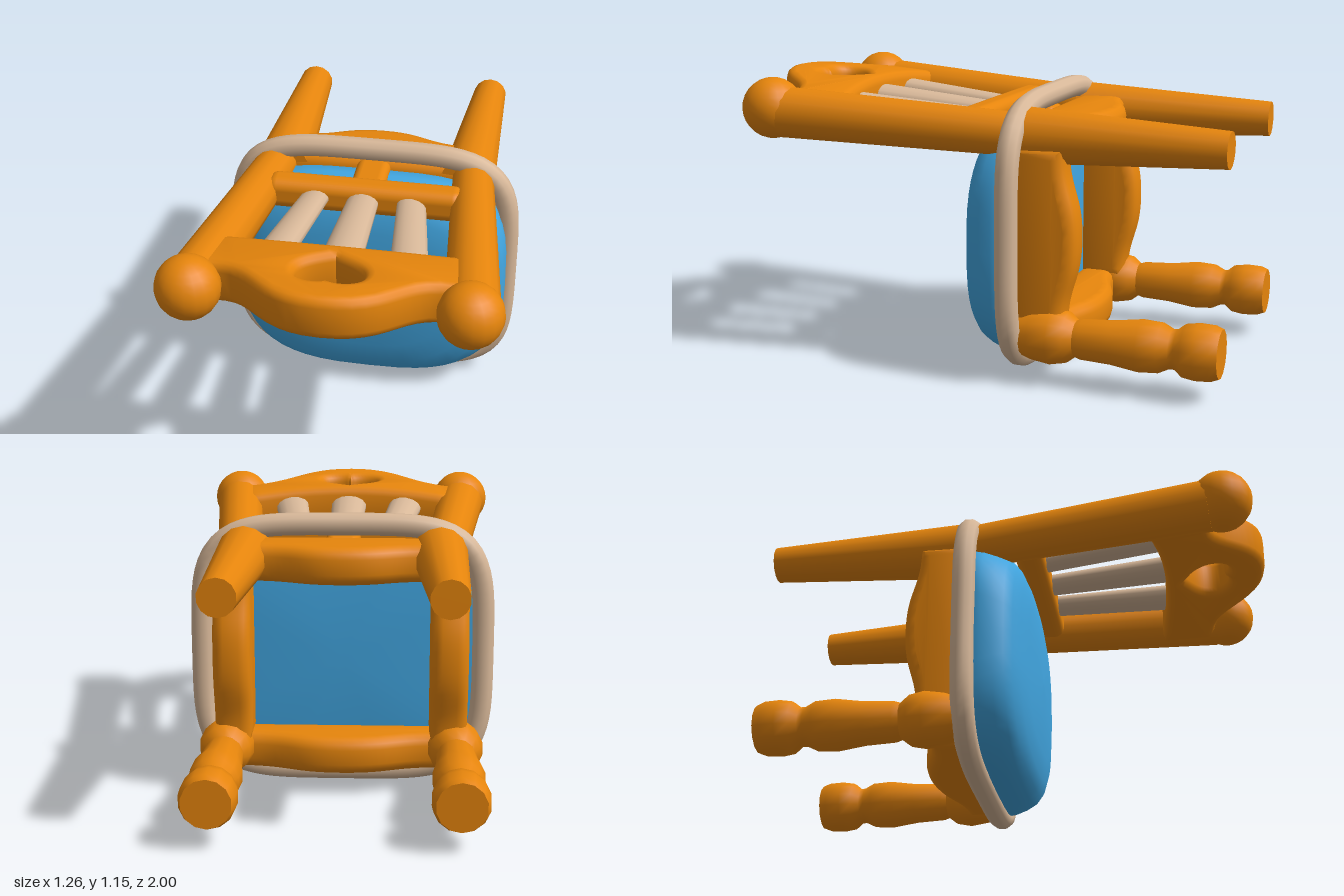
import * as THREE from 'three';
import { toCreasedNormals } from 'three/addons/utils/BufferGeometryUtils.js';
import { RoundedBoxGeometry } from 'three/addons/geometries/RoundedBoxGeometry.js';

const flat = (name, color) => Object.assign(new THREE.MeshStandardMaterial({ color }), { name });
const V = (x, y, z) => new THREE.Vector3(x, y, z);

// Squarish rounded outline, used by the cushion and the seat trim
function outline(a, hw, hh, n) {
  const c = Math.cos(a), s = Math.sin(a), e = 2 / n;
  return [hw * Math.sign(c) * Math.abs(c) ** e, hh * Math.sign(s) * Math.abs(s) ** e];
}

// Puffy cushion lofted along z; each ring is scale, z, squareness
function cushionGeometry() {
  const rings = [[0.001, -0.2, 4], [0.92, -0.2, 4], [0.99, -0.17, 3.8], [1, -0.12, 3.3], [0.985, -0.07, 3],
    [0.95, -0.03, 2.9], [0.89, 0, 2.8], [0.78, 0.024, 2.7], [0.6, 0.04, 2.6], [0.3, 0.05, 2.4], [0.001, 0.053, 2]];
  const n = 48, pos = [], idx = [];
  rings.forEach(([s, z, square], i) => {
    for (let j = 0; j < n; j++) {
      const [x, y] = outline(j / n * Math.PI * 2, 0.575 * s, 0.475 * s, square);
      pos.push(x, y + 0.52, z);
      if (i < rings.length - 1) {
        const a = i * n + j, b = i * n + (j + 1) % n;
        idx.push(a, b, b + n, a, b + n, a + n);
      }
    }
  });
  const g = new THREE.BufferGeometry();
  g.setAttribute('position', new THREE.Float32BufferAttribute(pos, 3));
  g.setIndex(idx);
  g.computeVertexNormals();
  return g;
}

// Rounded plate: shape drawn in x and z, thickness centred on y
function plate(shape, thick, bevel) {
  const g = new THREE.ExtrudeGeometry(shape, {
    depth: thick - 2 * bevel, bevelThickness: bevel, bevelSize: bevel,
    bevelOffset: -bevel, bevelSegments: 3, curveSegments: 12,
  });
  g.translate(0, 0, bevel - thick / 2);
  return g.rotateX(Math.PI / 2);
}

// Apron with a bowed lower edge
function apronGeometry(half, end, mid) {
  const s = new THREE.Shape();
  s.moveTo(half, -0.18);
  s.lineTo(-half, -0.18);
  s.lineTo(-half, end);
  s.bezierCurveTo(-half * 0.5, end, -half * 0.5, mid, 0, mid);
  s.bezierCurveTo(half * 0.5, mid, half * 0.5, end, half, end);
  return toCreasedNormals(plate(s, 0.15, 0.045), 0.9);
}

// Crest rail with a heart-shaped opening
function crestGeometry() {
  const s = new THREE.Shape();
  s.moveTo(-0.47, 0.53);
  s.quadraticCurveTo(0, 0.63, 0.47, 0.53);
  s.lineTo(0.5, 0.78);
  s.bezierCurveTo(0.26, 0.74, 0.28, 1, 0, 1);
  s.bezierCurveTo(-0.28, 1, -0.26, 0.74, -0.5, 0.78);
  const h = new THREE.Path();
  h.moveTo(0, 0.66);
  h.bezierCurveTo(0.05, 0.69, 0.125, 0.72, 0.125, 0.78);
  h.bezierCurveTo(0.125, 0.85, 0.03, 0.86, 0, 0.83);
  h.bezierCurveTo(-0.03, 0.86, -0.125, 0.85, -0.125, 0.78);
  h.bezierCurveTo(-0.125, 0.72, -0.05, 0.69, 0, 0.66);
  s.holes.push(h);
  const g = plate(s, 0.175, 0.037), p = g.attributes.position;
  // bow across the width and lean with the posts
  for (let i = 0; i < p.count; i++) {
    p.setY(i, p.getY(i) + 1.05 - 0.15 * p.getX(i) ** 2 + 0.09 * (p.getZ(i) - 0.85));
  }
  return toCreasedNormals(g, 0.9);
}

export function createModel() {
  const group = new THREE.Group();
  const wood = flat('orangeWood', 0xe6850c);
  const blue = flat('blueCushion', 0x42a7e2);
  const pale = flat('paleWood', 0xd8b899);

  const add = (name, geo, mat) => {
    const m = new THREE.Mesh(geo, mat);
    m.name = name;
    group.add(m);
    return m;
  };
  // Tapered round bar from p (radius rp) to q (radius rq)
  const bar = (name, p, q, rp, rq, mat) => {
    const d = q.clone().sub(p);
    const m = add(name, new THREE.CylinderGeometry(rq, rp, d.length(), 14), mat);
    m.position.copy(p).addScaledVector(d, 0.5);
    m.quaternion.setFromUnitVectors(V(0, 1, 0), d.normalize());
    return m;
  };

  // Seat
  add('seatCushion', cushionGeometry(), blue);
  const trim = [];
  for (let i = 0; i < 48; i++) {
    const [x, y] = outline(i / 48 * Math.PI * 2, 0.57, 0.512, 4.3);
    trim.push(V(x, y + 0.562, -0.185));
  }
  add('seatTrim', new THREE.TubeGeometry(new THREE.CatmullRomCurve3(trim, true), 96, 0.046, 10, true), pale);

  // Aprons under the seat
  add('rearApron', apronGeometry(0.38, -0.39, -0.47), wood).position.y = 0.95;
  add('frontApron', apronGeometry(0.42, -0.34, -0.42), wood).position.y = 0.17;

  // Turned front leg profile: radius, distance behind the seat
  const turned = [[0, 0.2], [0.08, 0.2], [0.1, 0.26], [0.112, 0.34], [0.1, 0.4], [0.072, 0.435],
    [0.08, 0.46], [0.086, 0.58], [0.102, 0.69], [0.097, 0.77], [0.077, 0.81], [0.077, 0.83],
    [0.102, 0.86], [0.11, 0.91], [0.107, 0.97], [0.095, 1], [0, 1]].map(([r, d]) => new THREE.Vector2(r, d));

  for (const s of [1, -1]) {
    const side = s > 0 ? 'left' : 'right';
    const apron = add(side + 'Apron', apronGeometry(0.36, -0.38, -0.435).rotateZ(Math.PI / 2), wood);
    apron.position.set(s * 0.43, 0.57, 0);

    const leg = toCreasedNormals(new THREE.LatheGeometry(turned, 14).rotateX(-Math.PI / 2), 0.9);
    add(side + 'FrontLeg', leg, wood).position.set(s * 0.46, 0.19, 0);
    bar(side + 'RearLeg', V(s * 0.39, 0.96, -0.18), V(s * 0.405, 0.95, -1), 0.113, 0.072, wood);

    // Back posts with ball finials
    bar(side + 'BackPost', V(s * 0.405, 0.96, -0.25), V(s * 0.51, 1.015, 0.78), 0.085, 0.103, wood);
    add(side + 'Finial', new THREE.SphereGeometry(0.122, 18, 14), wood).position.set(s * 0.51, 1.03, 0.83);

    const slat = bar(side + 'Slat', V(s * 0.19, 0.985, 0.05), V(s * 0.26, 1.03, 0.62), 0.058, 0.074, pale);
    slat.scale.z = 0.6;
  }

  // Back rest
  const middle = bar('middleSlat', V(0, 0.985, 0.05), V(0, 1.03, 0.62), 0.062, 0.08, pale);
  middle.scale.z = 0.6;
  add('lowerRail', new RoundedBoxGeometry(0.8, 0.13, 0.12, 3, 0.045), wood).position.set(0, 0.985, 0.038);
  add('railSupport', new RoundedBoxGeometry(0.14, 0.11, 0.24, 3, 0.035), wood).position.set(0, 0.97, -0.09);
  add('crestRail', crestGeometry(), wood);

  return group;
}
